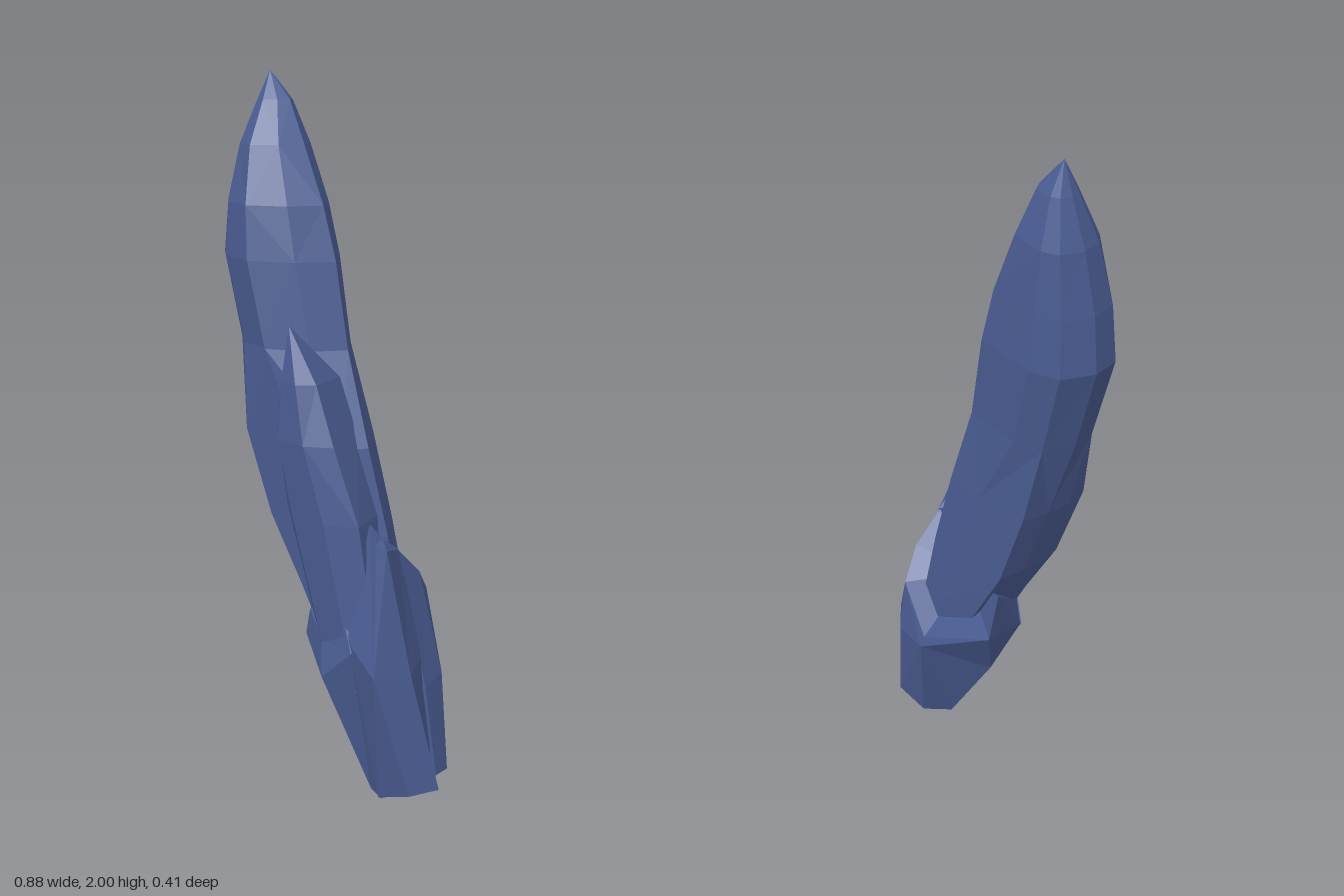
import * as THREE from 'three';

// Facetted solid through rings of corners, bottom to top, each counter-clockwise from above
function loft(name, rings, material, top) {
  const pos = [];
  const tri = (...corners) => corners.forEach((c) => pos.push(...c));
  const n = rings[0].length;
  const centre = (ring) => [0, 1, 2].map((k) => ring.reduce((s, p) => s + p[k], 0) / n);
  const first = rings[0], last = rings[rings.length - 1];
  const low = centre(first), high = top || centre(last);
  for (let i = 0; i < n; i++) {
    const j = (i + 1) % n;
    for (let r = 0; r + 1 < rings.length; r++) {
      const a = rings[r], b = rings[r + 1];
      if ((i + r) % 2) {
        tri(a[i], a[j], b[j]);
        tri(a[i], b[j], b[i]);
      } else {
        tri(a[i], a[j], b[i]);
        tri(a[j], b[j], b[i]);
      }
    }
    tri(first[j], first[i], low);
    tri(last[i], last[j], high);
  }
  const geometry = new THREE.BufferGeometry();
  geometry.setAttribute('position', new THREE.Float32BufferAttribute(pos, 3));
  geometry.computeVertexNormals();
  const mesh = new THREE.Mesh(geometry, material);
  mesh.name = name;
  return mesh;
}

// Ring that fits an outline into the given x and z limits at height y
const fit = (outline) => ([y, x0, x1, z0, z1]) => outline.map(([u, v]) => [
  (x0 + x1) / 2 + (u * (x1 - x0)) / 2, y, (z0 + z1) / 2 + (v * (z1 - z0)) / 2,
]);

export function createModel() {
  const group = new THREE.Group();
  group.name = 'crystalCluster';
  const blue = new THREE.MeshStandardMaterial({ color: 0x4a5c92 });
  blue.name = 'slateBlue';
  blue.flatShading = true;

  // Tall leaning crystal: boxy on its right below, rounder towards the tip
  const lowerOutline = [[1, 0.35], [0.5, -0.85], [-0.1, -1], [-0.88, -0.95], [-0.96, -0.3], [-1, 0.3], [-0.94, 0.88], [0.1, 1], [0.8, 0.8]];
  const upperOutline = [[1, -0.05], [0.62, -0.78], [-0.35, -1], [-0.78, -0.86], [-1, -0.28], [-0.94, 0.3], [-0.62, 0.7], [0, 1], [0.65, 0.6]];
  const mainRings = [
    ...[
      [0.45, -0.02, 0.26, -0.15, 0.06],
      [0.57, -0.085, 0.225, -0.16, 0.065],
      [0.76, -0.2, 0.195, -0.165, 0.07],
      [1, -0.29, 0.125, -0.17, 0.075],
    ].map(fit(lowerOutline)),
    ...[
      [1.25, -0.372, 0.005, -0.182, 0.08],
      [1.49, -0.445, -0.05, -0.205, 0.08],
      [1.64, -0.434, -0.1, -0.198, 0.062],
      [1.8, -0.405, -0.185, -0.186, 0.012],
      [1.92, -0.363, -0.25, -0.15, -0.055],
    ].map(fit(upperOutline)),
  ];
  group.add(loft('mainCrystal', mainRings, blue, [-0.33, 2, -0.11]));

  // Pointed shard leaning on the front
  const shardOutline = [[1, 0.55], [0.75, -0.9], [-0.7, -0.9], [-1, 0.1], [-0.45, 0.85], [0.4, 1]];
  const shardRings = [
    [0.35, 0.05, 0.28, 0, 0.15],
    [0.82, -0.1, 0.2, -0.02, 0.168],
    [1.03, -0.125, 0.12, -0.01, 0.178],
    [1.19, -0.095, 0.05, 0, 0.163],
  ].map(fit(shardOutline));
  group.add(loft('frontShard', shardRings, blue, [-0.05, 1.34, 0.125]));

  // Broad foot with a notched rim behind the main crystal
  group.add(loft('backFoot', [
    [[0.365, 0.08, -0.075], [0.3, 0.055, -0.135], [0.2, 0.02, -0.125], [0.15, 0, -0.05], [0.17, 0.01, 0.02], [0.28, 0.04, 0.04], [0.37, 0.085, -0.015]],
    [[0.32, 0.36, -0.1], [0.22, 0.38, -0.19], [0.11, 0.38, -0.207], [-0.08, 0.35, -0.1], [-0.06, 0.42, 0.045], [0.2, 0.4, 0.1], [0.34, 0.35, 0]],
    [[0.235, 0.64, -0.1], [0.2, 0.56, -0.18], [0.1, 0.42, -0.2], [-0.175, 0.57, -0.2], [-0.172, 0.7, -0.16], [-0.04, 0.5, 0.05], [0.225, 0.73, -0.01]],
  ], blue, [0.06, 0.6, -0.05]));

  // Tall blunt shard on the front left corner
  group.add(loft('leftFoot', [
    [[0.44, 0.1, 0.065], [0.37, 0.08, 0], [0.28, 0.04, 0.03], [0.28, 0.045, 0.13], [0.39, 0.09, 0.135]],
    [[0.365, 0.43, 0.1], [0.31, 0.43, -0.02], [0.18, 0.4, 0.03], [0.19, 0.5, 0.16], [0.32, 0.44, 0.205]],
    [[0.285, 0.77, 0.11], [0.23, 0.73, -0.01], [0.18, 0.74, 0.02], [0.2, 0.82, 0.08], [0.245, 0.78, 0.105]],
  ], blue, [0.23, 0.78, 0.06]));

  // Low shard with a small ledge at the front
  group.add(loft('frontFoot', [
    [[0.3, 0.045, 0.04], [0.22, 0.03, -0.01], [0.17, 0.015, 0.02], [0.22, 0.035, 0.09], [0.29, 0.045, 0.13]],
    [[0.25, 0.42, 0.05], [0.1, 0.4, 0], [-0.06, 0.42, 0.05], [0.1, 0.37, 0.165], [0.21, 0.47, 0.17]],
    [[0.22, 0.6, 0.05], [0.1, 0.6, 0], [-0.04, 0.5, 0.055], [0.08, 0.47, 0.14], [0.17, 0.55, 0.15]],
  ], blue));

  return group;
}
